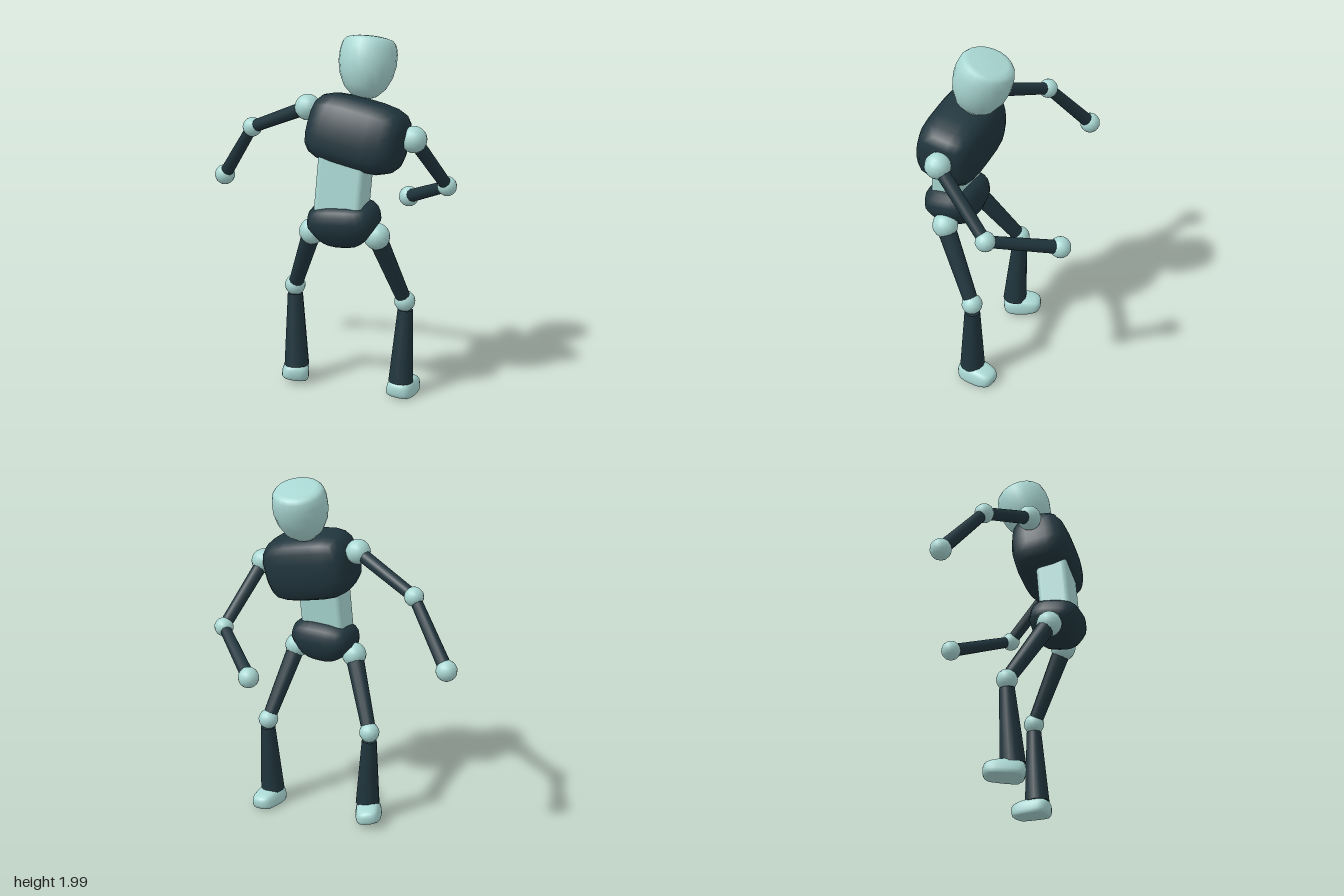
import * as THREE from 'three';
import { mergeVertices } from 'three/addons/utils/BufferGeometryUtils.js';

const pale = new THREE.MeshStandardMaterial({ color: 0xa9d7d3 });
pale.name = 'pale aqua';
const dark = new THREE.MeshStandardMaterial({ color: 0x20353d });
dark.name = 'dark slate';

// Rounded block: a box pushed onto a superellipsoid, then shaped by a rule
function blob(hx, hy, hz, n, shape = () => {}) {
  let g = new THREE.BoxGeometry(2, 2, 2, 6, 6, 6);
  g.deleteAttribute('uv');
  g.deleteAttribute('normal');
  g = mergeVertices(g);
  const p = g.attributes.position;
  const v = new THREE.Vector3();
  for (let i = 0; i < p.count; i++) {
    v.fromBufferAttribute(p, i);
    const k = Math.abs(v.x) ** n + Math.abs(v.y) ** n + Math.abs(v.z) ** n;
    v.multiplyScalar(k ** (-1 / n));
    shape(v);
    p.setXYZ(i, v.x * hx, v.y * hy, v.z * hz);
  }
  g.computeVertexNormals();
  return g;
}

export function createModel() {
  const model = new THREE.Group();
  model.name = 'jointedFigure';

  const add = (name, geo, mat, pos, rot = [0, 0, 0]) => {
    const m = new THREE.Mesh(geo, mat);
    m.name = name;
    m.position.set(...pos);
    m.rotation.set(...rot);
    model.add(m);
    return m;
  };
  const joint = (name, pos, r) => add(name, new THREE.SphereGeometry(r, 14, 10), pale, pos);

  // Straight limb from a to b with a radius at each end
  const limb = (name, a, b, ra, rb) => {
    const A = new THREE.Vector3(...a), B = new THREE.Vector3(...b);
    const dir = B.clone().sub(A);
    const m = add(name, new THREE.CylinderGeometry(rb, ra, dir.length(), 12), dark,
      A.clone().add(B).multiplyScalar(0.5).toArray());
    m.quaternion.setFromUnitVectors(new THREE.Vector3(0, 1, 0), dir.normalize());
  };

  // Head: egg with a flat crown, tipped towards -z
  const headProfile = [[0, -0.165], [0.035, -0.163], [0.07, -0.148], [0.11, -0.108], [0.14, -0.045],
    [0.153, 0.02], [0.152, 0.08], [0.143, 0.122], [0.128, 0.142], [0.1, 0.15], [0, 0.152]]
    .map(([r, y]) => new THREE.Vector2(r, y));
  add('head', new THREE.LatheGeometry(headProfile, 20), pale, [0.277, 1.825, 0.105], [-0.31, 0, 0]);

  // Torso
  add('chest', blob(0.262, 0.185, 0.175, 3.8, v => {
    if (v.y > 0) v.z *= 1 - 0.14 * v.y;
  }), dark, [0.275, 1.495, 0.228], [-0.15, 0, -0.2]);
  const waistShape = new THREE.Shape();
  const w = 0.1, d = 0.06, c = 0.03;
  waistShape.absarc(w, d, c, 0, Math.PI / 2);
  waistShape.absarc(-w, d, c, Math.PI / 2, Math.PI);
  waistShape.absarc(-w, -d, c, Math.PI, Math.PI * 1.5);
  waistShape.absarc(w, -d, c, Math.PI * 1.5, Math.PI * 2);
  const waist = new THREE.ExtrudeGeometry(waistShape, { depth: 0.36, bevelEnabled: false, curveSegments: 4 });
  waist.translate(0, 0, -0.18).rotateX(-Math.PI / 2);
  add('waist', waist, pale, [0.222, 1.23, 0.3], [-0.08, 0, -0.06]);
  add('pelvis', blob(0.187, 0.122, 0.145, 3.4, v => {
    if (v.y < 0) {
      v.x *= 1 + 0.4 * v.y;
      v.z *= 1 + 0.25 * v.y;
    }
  }), dark, [0.225, 1.025, 0.295], [0.13, 0, 0.06]);

  // Arms: shoulder, elbow and hand positions
  const arms = {
    right: [[-0.02, 1.61, 0.2], [-0.41, 1.45, 0.055], [-0.66, 1.125, -0.1]],
    left: [[0.57, 1.48, 0.205], [0.665, 1.17, -0.11], [0.363, 1.02, -0.39]],
  };
  for (const [side, [shoulder, elbow, hand]] of Object.entries(arms)) {
    joint(side + 'Shoulder', shoulder, 0.07);
    joint(side + 'Elbow', elbow, 0.054);
    joint(side + 'Hand', hand, 0.058);
    limb(side + 'UpperArm', shoulder, elbow, 0.038, 0.034);
    limb(side + 'Forearm', elbow, hand, 0.032, 0.038);
  }

  // Legs: hip, knee, shin ends, foot centre and foot turn
  const legs = {
    right: {
      hip: [0.04, 0.96, 0.29], knee: [-0.14, 0.58, 0.1], top: [-0.14, 0.53, 0.1],
      ankle: [-0.123, 0.115, 0.125], foot: [-0.143, 0.08, 0.085], turn: [0.06, 0.35, -0.16],
    },
    left: {
      hip: [0.4, 0.965, 0.28], knee: [0.495, 0.555, 0.075], top: [0.498, 0.505, 0.073],
      ankle: [0.484, 0.092, 0.09], foot: [0.492, 0.055, 0.053], turn: [0, -0.15, -0.05],
    },
  };
  // Foot: flat sole, low rounded toe at -z
  const footGeo = blob(0.073, 0.05, 0.112, 3.2, v => {
    if (v.y < 0) v.y = Math.max(v.y * 1.25, -0.85);
    else v.y *= 1.1 + 0.35 * Math.min(v.z, 0);
    v.x *= 1 + 0.1 * v.z - 0.12 * v.y;
  });
  for (const [side, l] of Object.entries(legs)) {
    joint(side + 'Hip', l.hip, 0.071);
    joint(side + 'Knee', l.knee, 0.058);
    limb(side + 'Thigh', l.hip, l.knee, 0.052, 0.04);
    limb(side + 'Shin', l.ankle, l.top, 0.07, 0.043);
    add(side + 'Foot', footGeo, pale, l.foot, l.turn);
  }

  return model;
}
